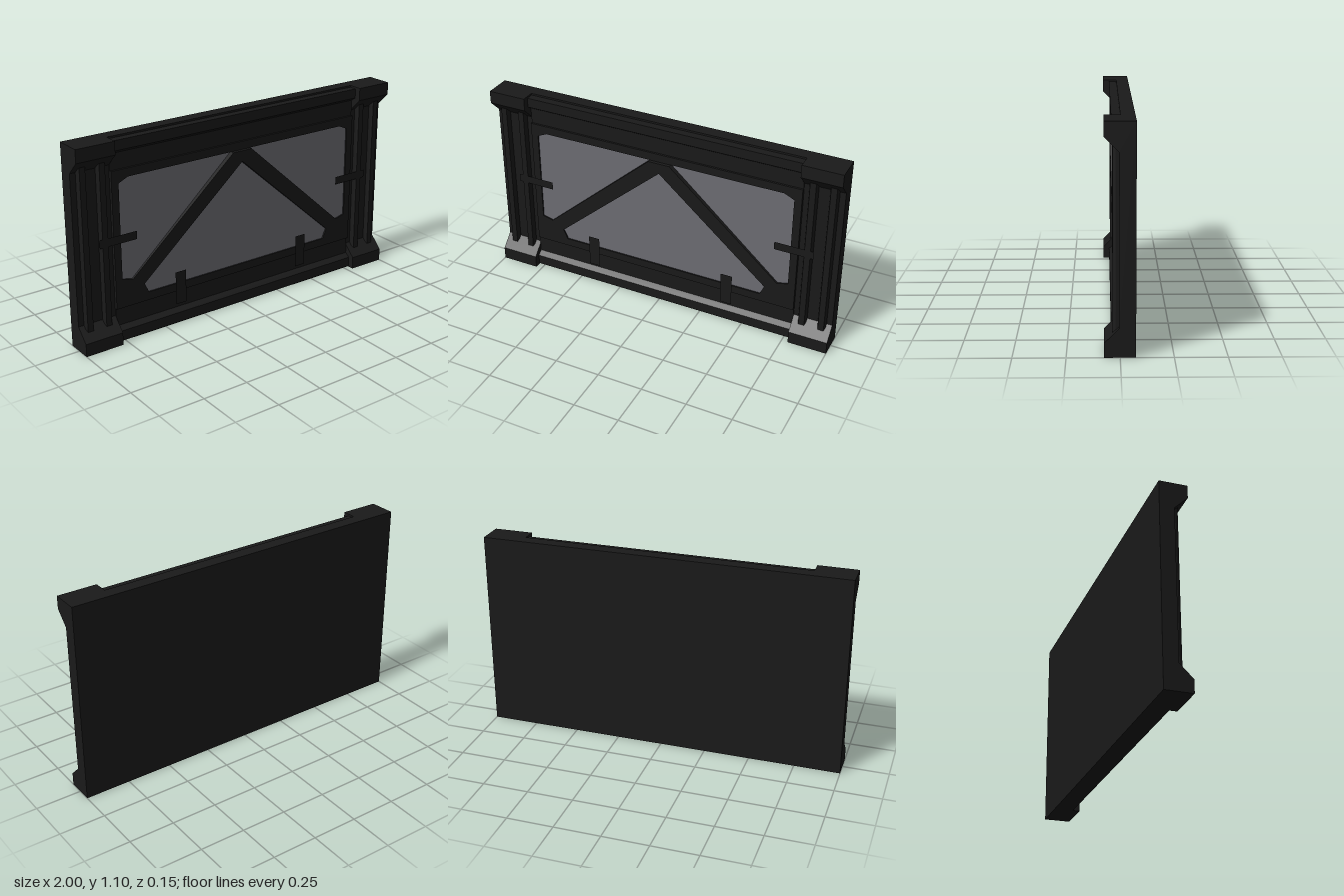
import * as THREE from 'three';

const BACK = -0.073;

export function createModel() {
  const model = new THREE.Group();
  const dark = new THREE.MeshStandardMaterial({ color: 0x1a1a1a, flatShading: true });
  const thin = new THREE.MeshStandardMaterial({ color: 0x1a1a1a, side: THREE.DoubleSide });
  const glass = new THREE.MeshStandardMaterial({ color: 0x6d6d74 });

  const add = (name, geometry, material = dark) => {
    const mesh = new THREE.Mesh(geometry, material);
    mesh.name = name;
    model.add(mesh);
  };
  const toShape = pts => new THREE.Shape(pts.map(p => new THREE.Vector2(...p)));
  // Box given by its limits on each axis
  const box = (x0, x1, y0, y1, z0, z1) =>
    new THREE.BoxGeometry(x1 - x0, y1 - y0, z1 - z0)
      .translate((x0 + x1) / 2, (y0 + y1) / 2, (z0 + z1) / 2);
  // Flat plate facing the front
  const plate = (x0, x1, y0, y1, z) =>
    new THREE.PlaneGeometry(x1 - x0, y1 - y0).translate((x0 + x1) / 2, (y0 + y1) / 2, z);
  // Profile of [z, y] points swept along x
  const sweepX = (pts, x0, x1) =>
    new THREE.ExtrudeGeometry(toShape(pts), { depth: x1 - x0, bevelEnabled: false })
      .rotateY(-Math.PI / 2).translate(x1, 0, 0);
  // Mirror a half outline (x >= 0) to a full closed one
  const mirrored = half => [...half, ...half.filter(p => p[0] > 0).reverse().map(([x, y]) => [-x, y])];

  // Solid back behind the window
  add('backPlate', box(-0.785, 0.785, 0, 1.1, BACK, -0.003));

  // Horizontal rails: a projecting lip and a recessed band towards the window
  add('topRail', sweepX([
    [-0.02, 1.1], [-0.02, 0.92], [0.012, 0.92], [0.012, 1.018],
    [0.04, 1.037], [0.04, 1.09], [-0.003, 1.09], [-0.003, 1.1],
  ], -0.785, 0.785));
  add('bottomRail', sweepX([
    [-0.02, 0], [0.035, 0], [0.04, 0.005], [0.04, 0.06], [0.012, 0.082], [0.012, 0.19], [-0.02, 0.19],
  ], -0.785, 0.785));

  // Window frame with cut corners
  const frame = toShape([[-0.785, 0.18], [0.785, 0.18], [0.785, 0.93], [-0.785, 0.93]]);
  frame.holes.push(new THREE.Path(mirrored([
    [0.59, 0.225], [0.615, 0.28], [0.685, 0.325], [0.745, 0.34], [0.745, 0.86], [0.69, 0.885],
  ]).map(p => new THREE.Vector2(...p))));
  add('windowFrame', new THREE.ExtrudeGeometry(frame, { depth: 0.028, bevelEnabled: false })
    .translate(0, 0, -0.005));
  add('windowPane', box(-0.75, 0.75, 0.22, 0.89, -0.02, 0.015), glass);

  // Diagonal brace, leaning slightly forward towards its apex
  const brace = new THREE.ExtrudeGeometry(toShape(mirrored([
    [0, 0.825], [0.615, 0.28], [0.685, 0.325], [0.06, 0.885], [0, 0.885],
  ])), { depth: 1, bevelEnabled: false });
  const pos = brace.attributes.position;
  for (let i = 0; i < pos.count; i++) {
    const front = 0.024 + 0.029 * (pos.getY(i) - 0.28);
    pos.setZ(i, pos.getZ(i) > 0.5 ? front : -0.005);
  }
  brace.computeVertexNormals();
  add('diagonalBrace', brace);

  // Cross-section of an upright bar: flat front with chamfered edges
  const barSection = toShape(mirrored([[0.022, 0], [0.022, 0.021], [0.016, 0.035]]));

  for (const [side, s] of [['left', 1], ['right', -1]]) {
    const span = (a, b) => (s > 0 ? [a, b] : [-b, -a]);

    // Column with flared head and foot
    add(side + 'Column', sweepX([
      [BACK, 0], [0.075, 0], [0.075, 0.07], [0.005, 0.14],
      [0.005, 0.96], [0.075, 1.03], [0.075, 1.1], [BACK, 1.1],
    ], ...span(0.785, 1)));

    // Upright bars on the column
    for (const x of [0.839, 0.947]) {
      add(side + 'Bar', new THREE.ExtrudeGeometry(barSection, { depth: 0.9, bevelEnabled: false })
        .rotateX(Math.PI / 2).rotateZ(Math.PI).rotateY(Math.PI).rotateX(Math.PI)
        .translate(s * x, 1, 0));
    }

    // Thin clamp across column and frame, and thin upright tab on the sill
    add(side + 'Clamp', plate(...span(0.66, 0.875), 0.547, 0.592, 0.038), thin);
    add(side + 'SillTab', plate(...span(0.372, 0.437), 0.115, 0.3, 0.043), thin);
  }
  return model;
}
